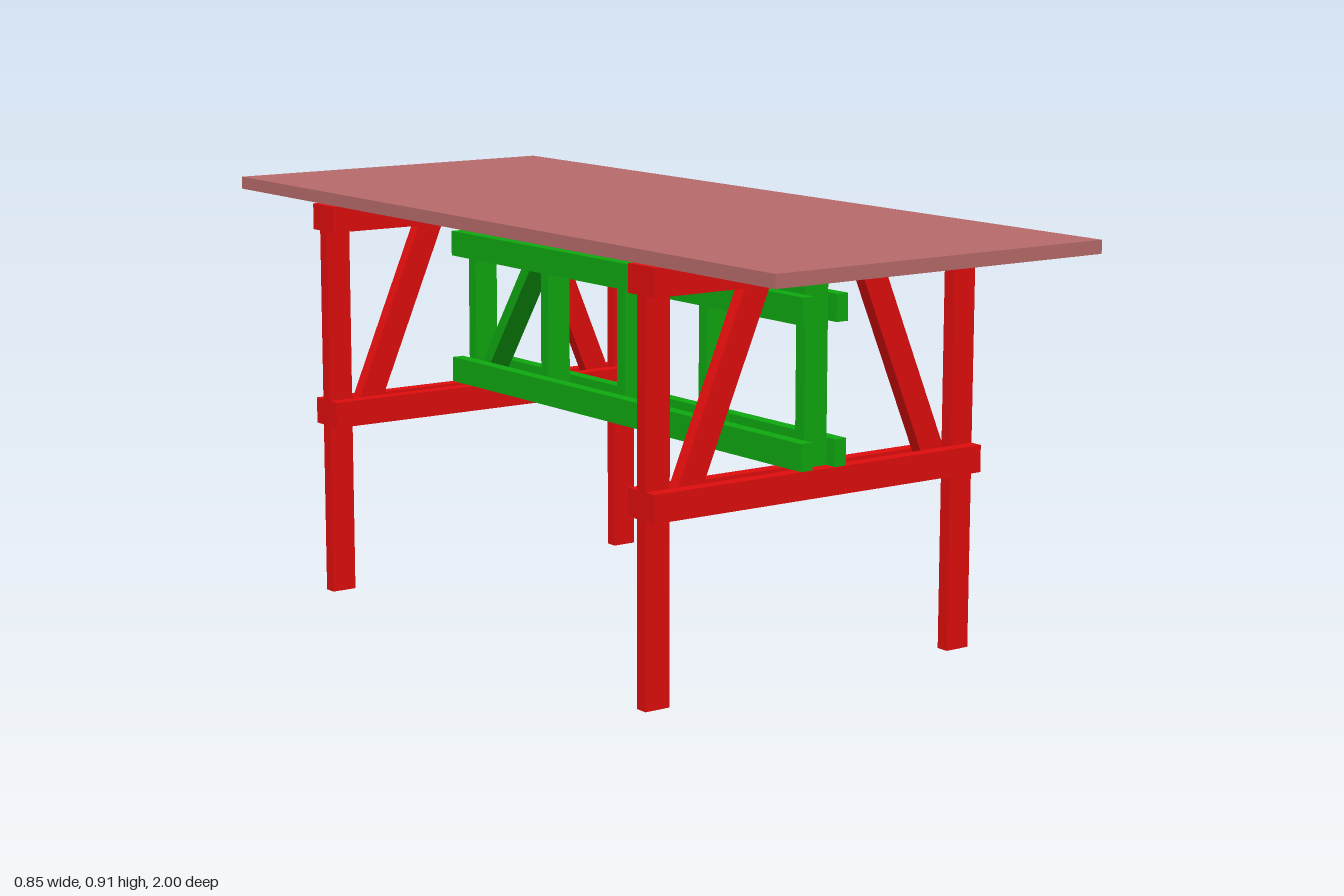
import * as THREE from 'three';

const RED = new THREE.MeshStandardMaterial({ color: 0xe00d0d });
const GREEN = new THREE.MeshStandardMaterial({ color: 0x0fa810 });
const TOP = new THREE.MeshStandardMaterial({ color: 0xb86a6a });

const T = 0.029; // board thickness
const W = 0.058; // board width
const FRAME_Z = 0.604;
const LOW = 0.384, HIGH = 0.884; // heights spanned by the end frames

// Box given by its minimum and maximum on each axis
function board(name, material, [x0, x1], [y0, y1], [z0, z1]) {
  const mesh = new THREE.Mesh(new THREE.BoxGeometry(x1 - x0, y1 - y0, z1 - z0), material);
  mesh.position.set((x0 + x1) / 2, (y0 + y1) / 2, (z0 + z1) / 2);
  mesh.name = name;
  return mesh;
}

// Slanted board with level-cut ends, centred on z = 0
function brace(name, material, xBottom, xTop, width, y0, y1, depth) {
  const shape = new THREE.Shape([
    new THREE.Vector2(xBottom, y0), new THREE.Vector2(xBottom + width, y0),
    new THREE.Vector2(xTop + width, y1), new THREE.Vector2(xTop, y1),
  ]);
  const geometry = new THREE.ExtrudeGeometry(shape, { depth, bevelEnabled: false });
  geometry.translate(0, 0, -depth / 2);
  const mesh = new THREE.Mesh(geometry, material);
  mesh.name = name;
  return mesh;
}

// Two legs and two braces clamped between paired rails
function endFrame(name) {
  const frame = new THREE.Group();
  frame.name = name;
  const mid = [-T / 2, T / 2];
  frame.add(
    board('rightLeg', RED, [-0.423, -0.365], [0, HIGH], mid),
    board('leftLeg', RED, [0.365, 0.423], [0, HIGH], mid),
    brace('rightBrace', RED, -0.369, -0.156, 0.063, LOW, HIGH, T),
    brace('leftBrace', RED, 0.306, 0.093, 0.063, LOW, HIGH, T),
    board('centrePost', GREEN, [-T, T], [LOW, HIGH], mid),
  );
  for (const z of [-T * 1.5, T / 2]) {
    frame.add(
      board('lowerRail', RED, [-0.423, 0.423], [LOW, LOW + W], [z, z + T]),
      board('upperRail', RED, [-0.423, 0.423], [HIGH - W, HIGH], [z, z + T]),
    );
  }
  return frame;
}

export function createModel() {
  const model = new THREE.Group();
  model.name = 'trestleTable';

  model.add(board('tableTop', TOP, [-0.41, 0.41], [HIGH, 0.912], [-1, 1]));

  for (const [name, z] of [['frontFrame', FRAME_Z], ['backFrame', -FRAME_Z]]) {
    const frame = endFrame(name);
    frame.position.z = z;
    model.add(frame);
  }

  // Lengthwise truss joining the end frames
  const truss = new THREE.Group();
  truss.name = 'centreTruss';
  for (const x of [-W, T]) {
    truss.add(
      board('lowerBeam', GREEN, [x, x + T], [0.442, 0.499], [-0.646, 0.646]),
      board('upperBeam', GREEN, [x, x + T], [0.738, 0.795], [-0.646, 0.646]),
    );
  }
  for (const z of [0.281, -0.013, -0.307]) {
    truss.add(board('upright', GREEN, [-T, T], [0.442, 0.795], [z - T / 2, z + T / 2]));
  }
  // Turned so its slant runs along the length, near the back
  const diagonal = brace('diagonal', GREEN, 0.569, 0.322, 0.033, 0.442, 0.795, W);
  diagonal.rotation.y = Math.PI / 2;
  truss.add(diagonal);
  model.add(truss);

  return model;
}
